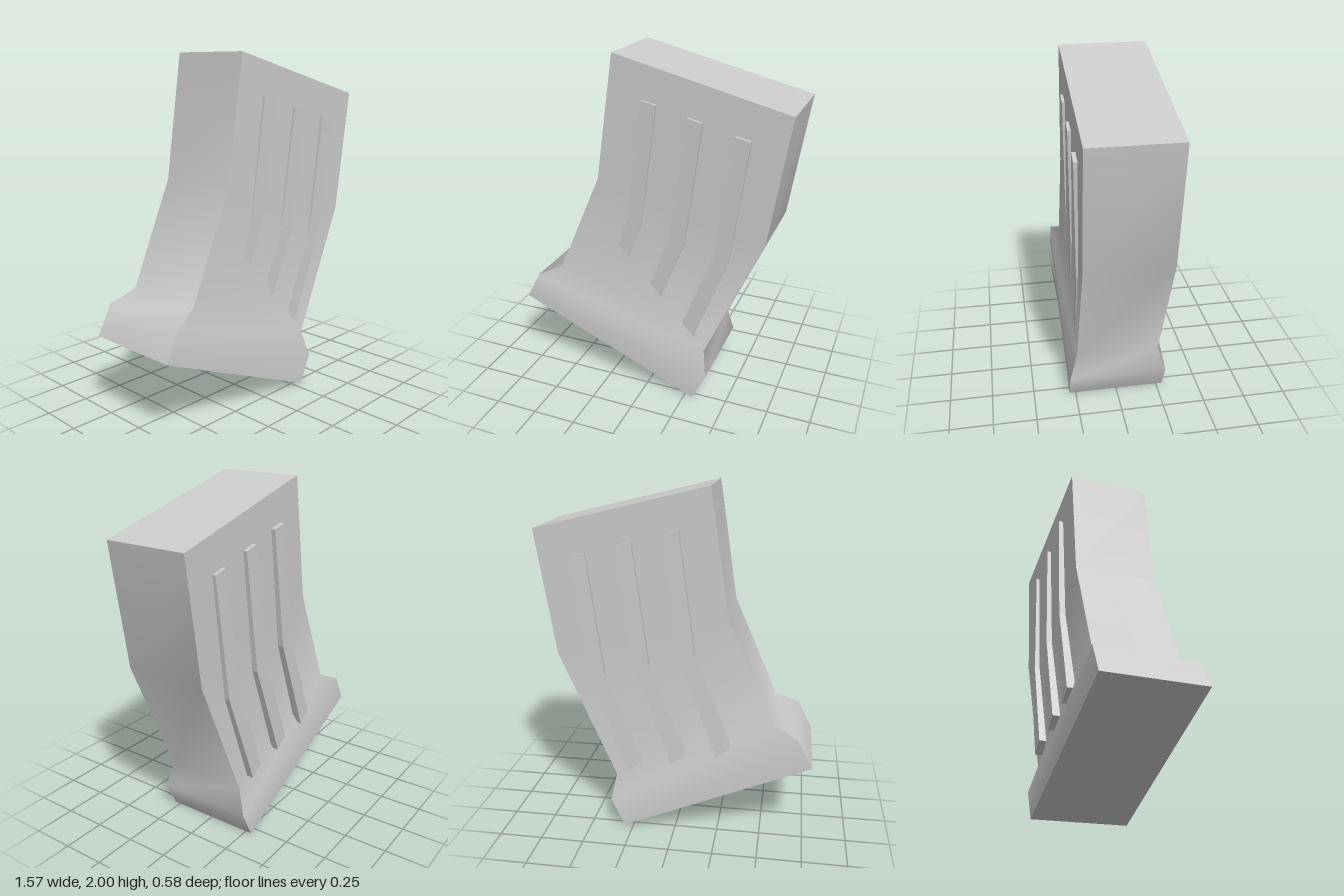
import * as THREE from 'three';
import { toCreasedNormals } from 'three/addons/utils/BufferGeometryUtils.js';

const material = new THREE.MeshStandardMaterial({ color: 0xcccccc });

// Slanted sections from the flared foot to the top: left x, y, right x, y, half depth
const SECTIONS = [
  [-0.785, 0.465, 0.30, 0.0, 0.287],
  [-0.70, 0.63, 0.38, 0.165, 0.287],
  [-0.557, 0.70, 0.352, 0.315, 0.241],
  [-0.295, 1.295, 0.674, 1.055, 0.241],
  [-0.19, 2.0, 0.78, 1.762, 0.241],
];

// Four-cornered loft through the sections, capped at both ends
function bodyGeometry() {
  const positions = [];
  const index = [];
  for (const [lx, ly, rx, ry, d] of SECTIONS) {
    positions.push(lx, ly, d, rx, ry, d, rx, ry, -d, lx, ly, -d);
  }
  const quad = (a, b, c, d) => index.push(a, b, c, a, c, d);
  const last = (SECTIONS.length - 1) * 4;
  for (let s = 0; s < last; s += 4) {
    for (let i = 0; i < 4; i++) {
      const j = (i + 1) % 4;
      quad(s + i, s + j, s + 4 + j, s + 4 + i);
    }
  }
  quad(3, 2, 1, 0);
  quad(last, last + 1, last + 2, last + 3);
  const geometry = new THREE.BufferGeometry();
  geometry.setAttribute('position', new THREE.Float32BufferAttribute(positions, 3));
  geometry.setIndex(index);
  return toCreasedNormals(geometry, 0.8);
}

// Bent rib running through the body, its faces slightly tilted
// so that it sinks into the front and stands out more at the back
function ribGeometry(dx, dy) {
  const outline = [
    [-0.025, 1.77], [-0.115, 1.085], [-0.32, 0.555],
    [-0.24, 0.495], [-0.03, 1.065], [0.06, 1.75],
  ].map(([x, y]) => new THREE.Vector2(x + dx, y + dy));
  const geometry = new THREE.ExtrudeGeometry(new THREE.Shape(outline), {
    depth: 0.522, bevelEnabled: false,
  });
  const p = geometry.attributes.position;
  for (let i = 0; i < p.count; i++) {
    const tilt = 0.021 * (0.74 * (p.getX(i) + 0.16) + 0.67 * (p.getY(i) - 0.82));
    p.setZ(i, p.getZ(i) - 0.282 + tilt);
  }
  geometry.computeVertexNormals();
  return geometry;
}

export function createModel() {
  const model = new THREE.Group();
  model.name = 'curvedRibbedBox';

  const body = new THREE.Mesh(bodyGeometry(), material);
  body.name = 'body';
  model.add(body);

  // Three parallel ribs, stepped along the slant of the top
  const ribs = new THREE.Group();
  ribs.name = 'ribs';
  for (let i = 0; i < 3; i++) {
    const rib = new THREE.Mesh(ribGeometry(0.257 * i, -0.067 * i), material);
    rib.name = `rib${i + 1}`;
    ribs.add(rib);
  }
  model.add(ribs);
  return model;
}
